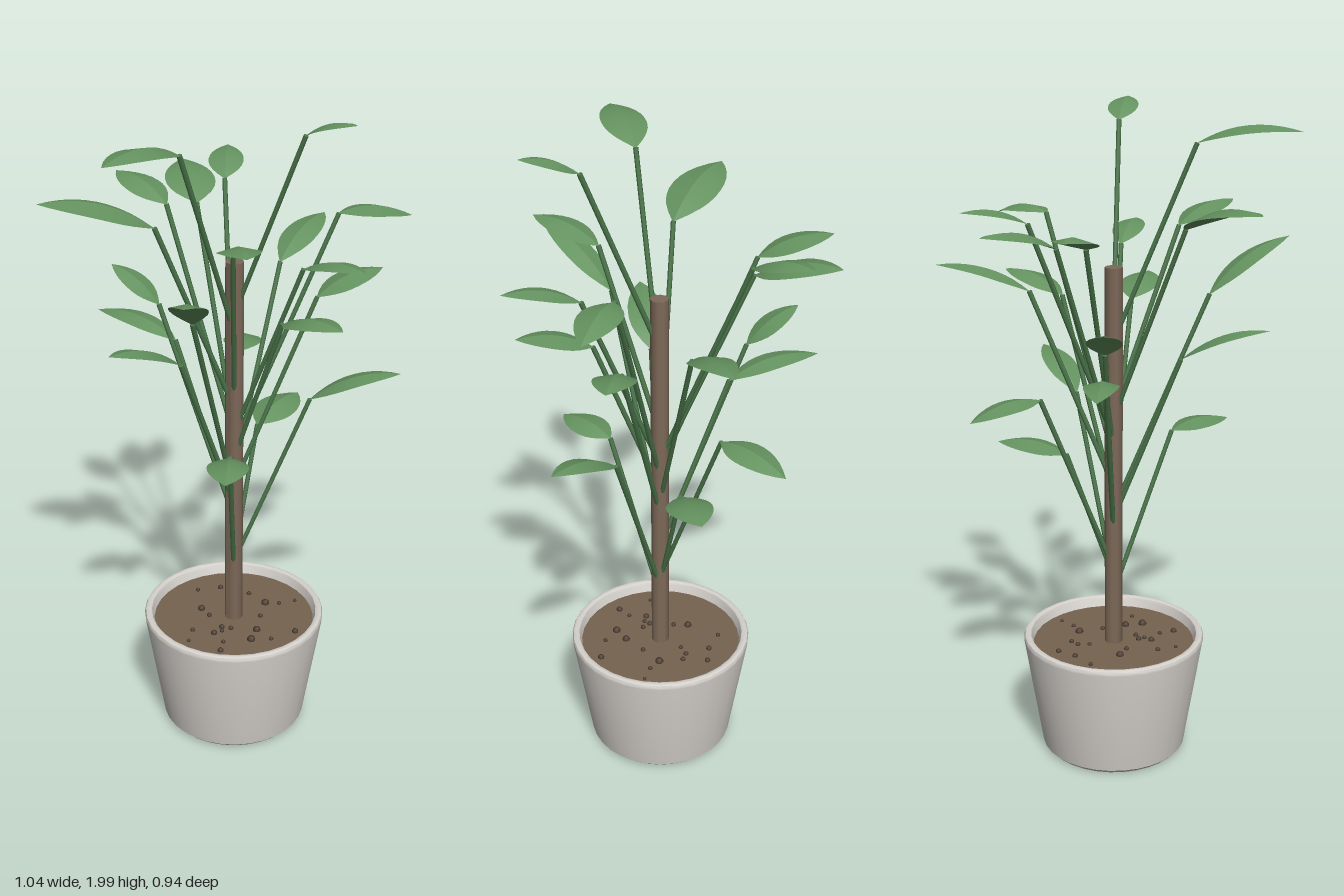
import * as THREE from 'three';
import { toCreasedNormals } from 'three/addons/utils/BufferGeometryUtils.js';

const CX = 0.006, CZ = 0.024; // trunk and pot axis

const mat = (name, color, extra = {}) => {
  const m = new THREE.MeshStandardMaterial({ color, ...extra });
  m.name = name;
  return m;
};

// base x, y, z, tip x, y, z, full width of each leaf
const LEAVES = [
  [-0.224, 1.68, -0.06, -0.47, 1.76, -0.257, 0.155],
  [-0.2, 1.285, 0.012, -0.46, 1.39, 0.0, 0.11],
  [-0.23, 1.905, 0.047, -0.525, 1.94, 0.075, 0.13],
  [-0.26, 1.46, 0.12, -0.464, 1.61, 0.294, 0.105],
  [-0.155, 1.65, 0.17, -0.283, 1.705, 0.34, 0.12],
  [-0.145, 1.02, 0.15, -0.293, 1.035, 0.275, 0.12],
  [0.0, 1.41, 0.215, -0.003, 1.45, 0.434, 0.12],
  [0.042, 1.57, 0.25, 0.045, 1.61, 0.47, 0.095],
  [0.047, 1.94, 0.243, 0.06, 1.993, 0.405, 0.09],
  [0.26, 1.665, 0.19, 0.45, 1.64, 0.305, 0.12],
  [0.167, 1.11, 0.18, 0.336, 1.2, 0.383, 0.1],
  [0.205, 1.42, 0.165, 0.41, 1.475, 0.24, 0.12],
  [0.25, 1.47, -0.02, 0.517, 1.545, -0.078, 0.11],
  [0.145, 0.97, -0.01, 0.355, 1.0, -0.03, 0.135],
  [0.194, 1.7, -0.196, 0.344, 1.745, -0.327, 0.105],
  [0.19, 1.17, -0.12, 0.355, 1.13, -0.268, 0.12],
  [0.104, 1.64, -0.224, 0.25, 1.7, -0.43, 0.15],
  [0.01, 1.65, -0.255, 0.014, 1.705, -0.473, 0.125],
  [-0.025, 1.25, -0.19, -0.078, 1.285, -0.473, 0.1],
  [-0.04, 1.355, -0.243, -0.078, 1.45, -0.405, 0.1],
];

// Half-width of a leaf along its midrib, as a share of the widest point
const OUTLINE = [0.05, 0.42, 0.71, 0.9, 0.99, 1, 0.95, 0.83, 0.64, 0.37, 0];

// x, z, radius of the pebbles on the soil
const PEBBLES = [
  [-0.04, -0.075, 0.012], [0.092, -0.117, 0.009], [0.13, -0.025, 0.008], [0.126, 0.05, 0.013],
  [0.155, 0.084, 0.007], [0.202, 0.11, 0.006], [0.072, 0.227, 0.01], [-0.055, 0.157, 0.013],
  [-0.164, 0.13, 0.01], [-0.005, 0.134, 0.012], [-0.145, -0.01, 0.008], [-0.125, 0.104, 0.007],
  [-0.11, 0.05, 0.01], [-0.07, 0.045, 0.009], [-0.195, 0.022, 0.006], [-0.05, -0.03, 0.008],
  [0.105, -0.04, 0.008], [0.06, 0.09, 0.008], [-0.01, 0.2, 0.007], [0.03, -0.16, 0.007],
  [0.15, -0.1, 0.009], [-0.085, 0.06, 0.007], [0.07, -0.03, 0.007], [-0.055, 0.07, 0.008],
];

// Arched blade with a soft ridge along the midrib
function leafGeometry(base, tip, width) {
  const up = new THREE.Vector3(0, 1, 0);
  const len = base.distanceTo(tip);
  const ctrl = base.clone().lerp(tip, 0.45).addScaledVector(up, 0.23 * len);
  const rib = new THREE.QuadraticBezierCurve3(base, ctrl, tip);
  const side = tip.clone().sub(base).cross(up).normalize();
  const pos = [], index = [];
  OUTLINE.forEach((w, i) => {
    const p = rib.getPoint(i / (OUTLINE.length - 1));
    const h = w * width / 2;
    for (const s of [-1, 0, 1]) {
      const q = p.clone().addScaledVector(side, s * h);
      q.y -= Math.abs(s) * h * 0.25;
      pos.push(q.x, q.y, q.z);
    }
    if (i === 0) return;
    const a = (i - 1) * 3, b = i * 3;
    for (const k of [0, 1]) index.push(a + k, a + k + 1, b + k, a + k + 1, b + k + 1, b + k);
  });
  const g = new THREE.BufferGeometry();
  g.setAttribute('position', new THREE.Float32BufferAttribute(pos, 3));
  g.setIndex(index);
  return toCreasedNormals(g, 0.35);
}

// Straight rod between two points
function rodGeometry(a, b, r) {
  const d = b.clone().sub(a);
  const g = new THREE.CylinderGeometry(r, r, d.length(), 6);
  g.applyQuaternion(new THREE.Quaternion().setFromUnitVectors(new THREE.Vector3(0, 1, 0), d.clone().normalize()));
  const m = a.clone().add(b).multiplyScalar(0.5);
  return g.translate(m.x, m.y, m.z);
}

export function createModel() {
  const model = new THREE.Group();
  model.name = 'pottedPlant';
  const ceramic = mat('pot grey', 0xd4d0cb);
  const earth = mat('soil brown', 0x75634f);
  const pebble = mat('pebble dark brown', 0x4a3c30);
  const bark = mat('bark brown', 0x7c6858);
  const stemGreen = mat('stem green', 0x4c774c);
  const leafGreen = mat('leaf green', 0x64925f, { side: THREE.DoubleSide });

  const add = (name, geometry, material, parent = model) => {
    const m = new THREE.Mesh(geometry, material);
    m.name = name;
    parent.add(m);
    return m;
  };

  // Tapered hollow pot, open below, with a rounded rim
  const profile = [
    [0.196, 0.008], [0.2, 0], [0.213, 0], [0.226, 0.013],
    [0.282, 0.366], [0.282, 0.374], [0.279, 0.38], [0.273, 0.383],
    [0.266, 0.383], [0.26, 0.38], [0.256, 0.372], [0.196, 0.008],
  ].map(([x, y]) => new THREE.Vector2(x, y));
  add('pot', toCreasedNormals(new THREE.LatheGeometry(profile, 32), 0.6), ceramic).position.set(CX, 0, CZ);

  // Soil disc
  add('soil', new THREE.CylinderGeometry(0.254, 0.25, 0.02, 32), earth).position.set(CX, 0.34, CZ);

  // Pebbles scattered on the soil
  const pebbles = new THREE.Group();
  pebbles.name = 'pebbles';
  model.add(pebbles);
  for (const [x, z, r] of PEBBLES) {
    add('pebble', new THREE.IcosahedronGeometry(r, 1), pebble, pebbles).position.set(x, 0.352, z);
  }

  // Trunk
  add('trunk', toCreasedNormals(new THREE.CylinderGeometry(0.027, 0.028, 1.205, 10), 0.8), bark)
    .position.set(CX, 0.9425, CZ);

  // Branches: a stem rising from the trunk and a leaf at its end
  for (const [bx, by, bz, tx, ty, tz, width] of LEAVES) {
    const branch = new THREE.Group();
    branch.name = 'branch';
    model.add(branch);
    const base = new THREE.Vector3(bx, by, bz), tip = new THREE.Vector3(tx, ty, tz);
    const root = new THREE.Vector3(CX, by - 0.13 - 1.9 * Math.hypot(bx - CX, bz - CZ), CZ);
    add('stem', rodGeometry(root, base, 0.0075), stemGreen, branch);
    add('leaf', leafGeometry(base, tip, width), leafGreen, branch);
  }
  return model;
}
